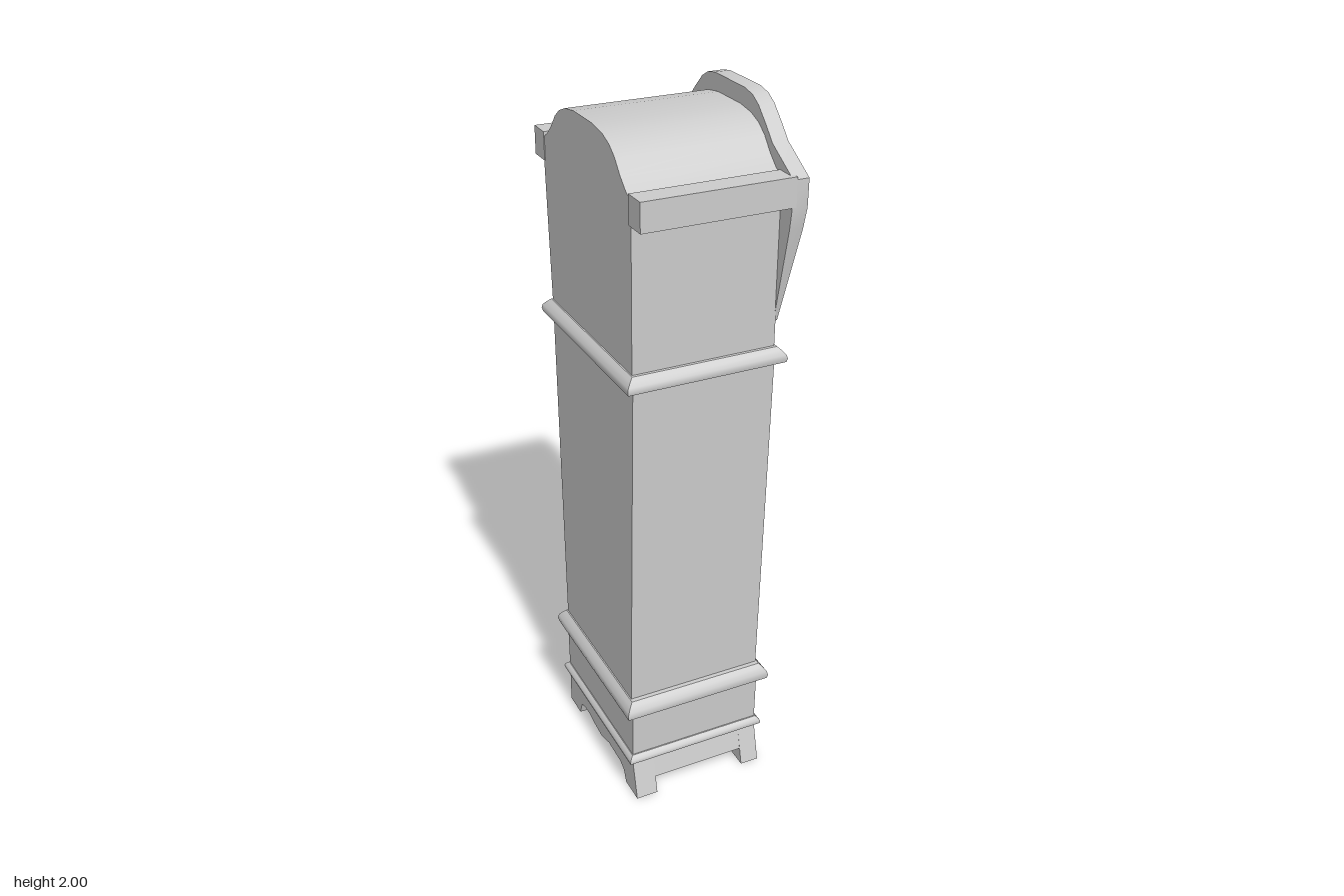
import * as THREE from 'three';
import { toCreasedNormals } from 'three/addons/utils/BufferGeometryUtils.js';

const material = new THREE.MeshStandardMaterial({ color: 0xcccccc });

function part(name, geometry) {
  const mesh = new THREE.Mesh(toCreasedNormals(geometry, 0.55), material);
  mesh.name = name;
  return mesh;
}

// Skin over a row of closed, capped cross-sections
function loft(sections) {
  const n = sections[0].length, index = [];
  for (let s = 0; s < sections.length - 1; s++) {
    for (let i = 0; i < n; i++) {
      const a = s * n + i, b = s * n + (i + 1) % n;
      index.push(a, b, b + n, a, b + n, a + n);
    }
  }
  const last = (sections.length - 1) * n;
  for (let i = 1; i < n - 1; i++) index.push(0, i + 1, i, last, last + i, last + i + 1);
  const g = new THREE.BufferGeometry();
  g.setAttribute('position', new THREE.Float32BufferAttribute(sections.flat(2), 3));
  g.setIndex(index);
  return g;
}

// Stack of rectangles, each row [y, x0, x1, z0, z1]
const stack = rows => loft(rows.map(([y, x0, x1, z0, z1]) =>
  [[x0, y, z1], [x1, y, z1], [x1, y, z0], [x0, y, z0]]));

// Outline of [z, y] points pushed from x0 to x1
function slab(points, x0, x1, hole) {
  const toVec = p => p.map(([z, y]) => new THREE.Vector2(-z, y));
  const shape = new THREE.Shape(toVec(points));
  if (hole) shape.holes.push(new THREE.Path(toVec(hole)));
  const g = new THREE.ExtrudeGeometry(shape, { depth: x1 - x0, bevelEnabled: false });
  return g.rotateY(Math.PI / 2).translate(x0, 0, 0);
}

// Band round the case with a rounded edge, out = overhang
function moulding(name, y0, y1, out, z0, z1) {
  const profile = [[0, 0.6], [0, 0.9], [0.25, 1], [0.5, 0.9], [0.8, 0.5], [1, 0.15]];
  return part(name, stack(profile.map(([t, k]) => {
    const o = out * k;
    return [y0 + (y1 - y0) * t, -0.21 - o, 0.19 + o, z0 - o, z1 + o];
  })));
}

const inset = (points, k, cy) => points.map(([z, y]) => [z * k, cy + (y - cy) * k]);
const mirrored = half => [...half, ...half.map(([z, ...r]) => [-z, ...r]).reverse()];

export function createModel() {
  const model = new THREE.Group();
  model.name = 'longcaseClock';

  // Plinth: scalloped front and back aprons with feet, joined by the floor
  const apron = [
    [0.245, 0.125], [0.275, 0], [0.195, 0], [0.18, 0.035], [0.155, 0.048], [0.07, 0.052],
    [0.04, 0.042], [0.015, 0.035], [-0.04, 0.042], [-0.07, 0.05], [-0.11, 0.052],
    [-0.14, 0.042], [-0.155, 0], [-0.23, 0], [-0.23, 0.125],
  ];
  model.add(part('frontFeet', slab(apron, 0.135, 0.19)));
  model.add(part('backFeet', slab(apron, -0.21, -0.145)));
  model.add(part('plinthFloor', stack([
    [0.05, -0.145, 0.135, -0.23, 0.262],
    [0.125, -0.145, 0.135, -0.23, 0.245],
  ])));
  model.add(part('base', stack([
    [0.12, -0.21, 0.19, -0.23, 0.245],
    [0.32, -0.21, 0.19, -0.235, 0.25],
  ])));
  model.add(moulding('plinthMoulding', 0.122, 0.146, 0.014, -0.23, 0.247));
  model.add(moulding('baseMoulding', 0.3, 0.347, 0.025, -0.23, 0.25));

  // Tapered trunk with a framed door
  model.add(part('trunk', stack([
    [0.33, -0.21, 0.18, -0.23, 0.24],
    [1.36, -0.21, 0.18, -0.25, 0.275],
  ])));
  const doorway = [
    [0.222, 0.37], [0.245, 1.31], [-0.22, 1.31], [-0.195, 0.355],
  ];
  model.add(part('trunkFrame', slab(
    [[0.24, 0.33], [0.275, 1.36], [-0.25, 1.36], [-0.23, 0.33]], 0.178, 0.19, doorway)));
  model.add(part('trunkDoor', slab(
    [[0.21, 0.382], [0.232, 1.298], [-0.208, 1.298], [-0.185, 0.367]], 0.178, 0.187)));
  // Scalloped valance at the head of the door
  model.add(part('doorValance', slab([
    [0.232, 1.298], [0.22, 1.3], [0.18, 1.27], [0.14, 1.265], [0.08, 1.285], [0.02, 1.298],
    [-0.05, 1.285], [-0.13, 1.265], [-0.17, 1.27], [-0.208, 1.3], [-0.208, 1.306], [0.232, 1.306],
  ], 0.18, 0.189)));
  model.add(moulding('trunkMoulding', 1.343, 1.383, 0.025, -0.25, 0.275));

  // Hood with barrel roof
  model.add(part('hood', stack([
    [1.36, -0.21, 0.19, -0.25, 0.27],
    [1.8, -0.21, 0.19, -0.275, 0.275],
  ])));
  const roof = mirrored([
    [0.275, 1.79], [0.275, 1.83], [0.245, 1.848], [0.215, 1.875], [0.185, 1.91],
    [0.155, 1.932], [0.115, 1.947], [0.06, 1.955],
  ]);
  model.add(part('roof', slab(roof, -0.21, 0.195)));
  for (const side of [1, -1]) {
    const z = [0.265 * side, 0.33 * side].sort((a, b) => a - b);
    model.add(part(side > 0 ? 'leftCornice' : 'rightCornice', stack([
      [1.77, -0.212, 0.2, ...z], [1.847, -0.212, 0.2, ...z],
    ])));
  }

  // Pediment and side wings: [outer z, y, front x, inner z, y, deep z, y]
  const half = [
    [0.265, 1.45, 0.198, 0.255, 1.45, 0.24, 1.45],
    [0.322, 1.71, 0.226, 0.282, 1.7, 0.24, 1.68],
    [0.33, 1.765, 0.231, 0.292, 1.78, 0.24, 1.765],
    [0.33, 1.84, 0.232, 0.245, 1.81, 0.228, 1.785],
    [0.225, 1.9, 0.232, 0.205, 1.845, 0.18, 1.815],
    [0.19, 1.937, 0.232, 0.17, 1.885, 0.145, 1.865],
    [0.15, 1.975, 0.232, 0.147, 1.903, 0.125, 1.88],
    [0.12, 1.992, 0.232, 0.115, 1.912, 0.1, 1.885],
    [0.08, 2.0, 0.232, 0.075, 1.914, 0.07, 1.887],
  ];
  const ring = ([oz, oy, x, iz, iy, dz, dy], s) =>
    [[0.188, oy, oz * s], [x, oy, oz * s], [x, iy, iz * s], [0.188, dy, dz * s]];
  model.add(part('pediment', loft([
    ...half.map(r => ring(r, 1)),
    ...half.map(r => ring(r, -1)).reverse(),
  ])));
  // Front wall filling the arch behind the pediment
  model.add(part('hoodFront', slab(mirrored([
    [0.25, 1.7], [0.25, 1.79], [0.19, 1.83], [0.14, 1.89], [0.08, 1.9],
  ]), 0.18, 0.192)));

  // Hood door: moulded frame round a slightly raised panel
  const door = [
    [0.195, 1.445], [0.195, 1.785], [0.155, 1.81], [0.115, 1.855], [0.075, 1.87],
    [-0.075, 1.87], [-0.115, 1.85], [-0.155, 1.81], [-0.2, 1.78], [-0.175, 1.445],
  ];
  model.add(part('hoodDoorFrame', slab(door, 0.188, 0.2, inset(door, 0.93, 1.655))));
  model.add(part('hoodDoorPanel', slab(inset(door, 0.89, 1.655), 0.188, 0.196)));

  return model;
}
